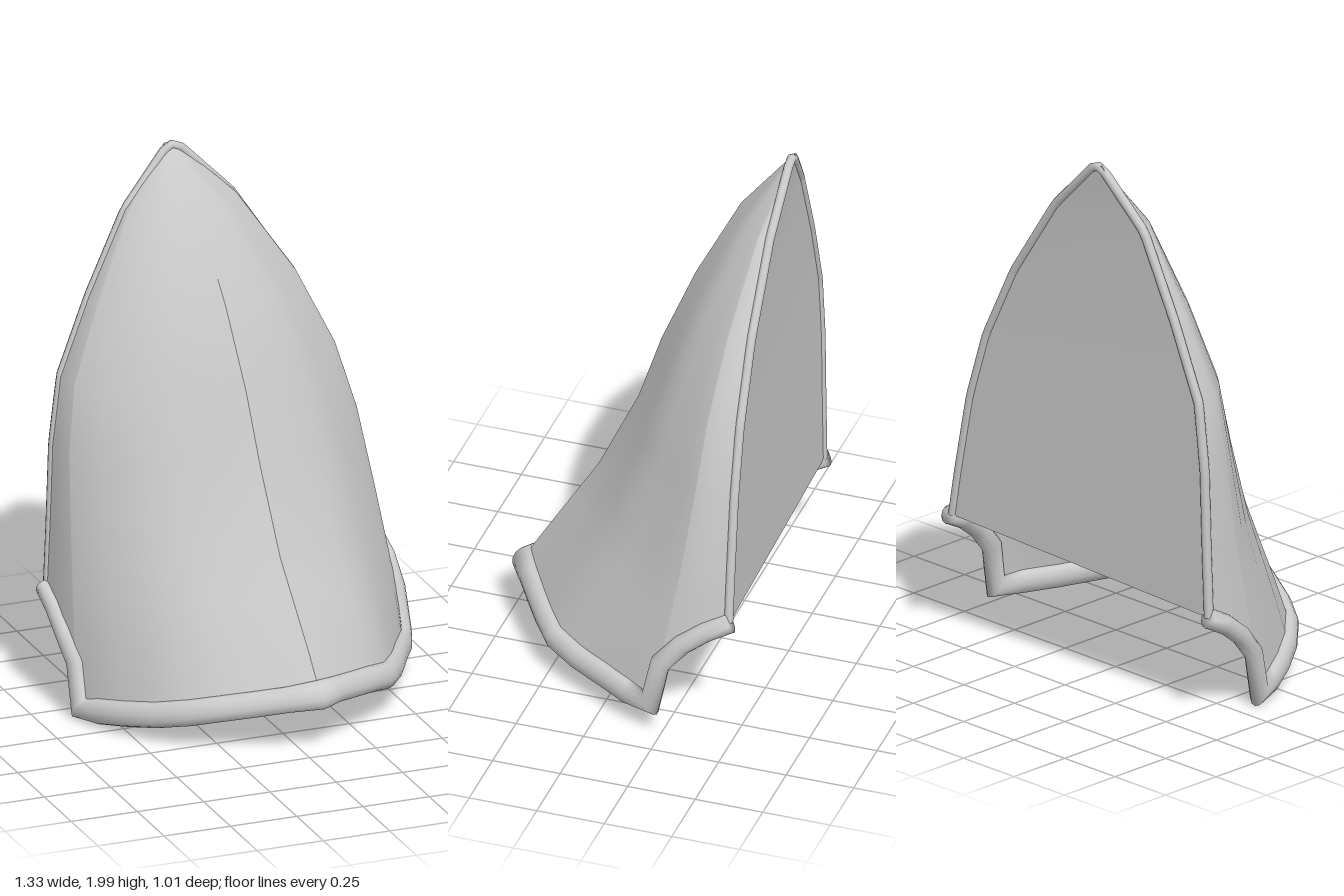
import * as THREE from 'three';
import { mergeVertices } from 'three/addons/utils/BufferGeometryUtils.js';

const V = (x, y, z) => new THREE.Vector3(x, y, z);
const { lerp, clamp } = THREE.MathUtils;

// Levels: y, right-hand back edge x (-x side), left back edge x (+x side), ridge x, ridge z, back z at -x, back z at +x
const LEVELS = [
  [0, -0.63, 0.64, 0.07, 0.6, -0.42, -0.49],
  [0.3, -0.635, 0.615, 0.05, 0.42, -0.42, -0.49],
  [0.65, -0.62, 0.56, 0.01, 0.2, -0.42, -0.485],
  [0.95, -0.61, 0.505, -0.01, 0.06, -0.42, -0.48],
  [1.2, -0.58, 0.43, -0.03, -0.02, -0.42, -0.475],
  [1.48, -0.47, 0.295, -0.06, -0.135, -0.43, -0.47],
  [1.78, -0.33, 0.095, -0.1, -0.29, -0.44, -0.47],
  [1.99, -0.155, -0.12, -0.135, -0.465, -0.475, -0.475],
];
const TOP = 1.99;

// Half cross-section from ridge to back edge: (share of width, share of depth)
const halfProfile = (bulge) => new THREE.CatmullRomCurve3(
  [[0, 0], [0.3, 0.13], [0.6, 0.28], [0.84, 0.52], [bulge, 0.74], [1, 1]].map(([x, d]) => V(x, d, 0)));
const PROFILE = { left: halfProfile(1.02), right: halfProfile(0.97) };

// Lower edge of each half: [u from ridge to back, y]; the jump is the side notch
const EDGE_U = [0, 0.1, 0.2, 0.3, 0.4, 0.5, 0.6, 0.7, 0.785, 0.79, 0.85, 0.92, 1];
const EDGE_LEFT = [0.225, 0.215, 0.2, 0.185, 0.16, 0.145, 0.135, 0.128, 0.125, 0.29, 0.38, 0.44, 0.485];
const EDGE_RIGHT = [0.225, 0.205, 0.185, 0.165, 0.14, 0.11, 0.085, 0.065, 0.05, 0.21, 0.3, 0.365, 0.41];

// Point on the outer plate for u in -1..1 (signed towards +x) and height y
function plate(u, y, side = u < 0 ? 'right' : 'left') {
  let i = 0;
  while (i < LEVELS.length - 2 && y > LEVELS[i + 1][0]) i++;
  const a = LEVELS[i], b = LEVELS[i + 1], t = clamp((y - a[0]) / (b[0] - a[0]), 0, 1);
  const [, xr, xl, rx, rz, zr, zl] = a.map((v, k) => lerp(v, b[k], t));
  const p = PROFILE[side].getPoint(Math.min(1, Math.abs(u)));
  const left = side === 'left';
  return V(lerp(rx, left ? xl : xr, p.x), y, lerp(rz, left ? zl : zr, p.y));
}

// Smooth surface through a grid of points: rows[i][j], i runs right, j runs up when seen from outside
function gridGeometry(rows, capped = false) {
  const n = rows[0].length, index = [];
  const points = rows.flat();
  for (let i = 0; i < rows.length - 1; i++) {
    for (let j = 0; j < n - 1; j++) {
      const a = i * n + j, b = a + n;
      index.push(a, b, b + 1, a, b + 1, a + 1);
    }
  }
  if (capped) {
    const last = (rows.length - 1) * n;
    for (let j = 1; j < n - 2; j++) index.push(0, j, j + 1, last, last + j + 1, last + j);
  }
  let g = new THREE.BufferGeometry().setFromPoints(points);
  g.setIndex(index);
  g = mergeVertices(g, 1e-5);
  g.computeVertexNormals();
  return g;
}

export function createModel() {
  const group = new THREE.Group();
  const material = new THREE.MeshStandardMaterial({ color: 0xcccccc, side: THREE.DoubleSide });
  const add = (name, geometry) => {
    const mesh = new THREE.Mesh(geometry, material);
    mesh.name = name;
    group.add(mesh);
  };

  // Two curved plate halves, split along the ridge so it stays crisp
  const heights = LEVELS.slice(2).map((l) => l[0]);
  const column = (u, yb, side) => [yb, lerp(yb, 0.65, 0.33), lerp(yb, 0.65, 0.67), ...heights]
    .map((y) => plate(u, y, side));
  add('leftPlate', gridGeometry(EDGE_U.map((u, i) => column(u, EDGE_LEFT[i], 'left'))));
  add('rightPlate', gridGeometry(EDGE_U.map((u, i) => column(-u, EDGE_RIGHT[i], 'right')).reverse()));

  // Flat back panel spanning the two back edges
  const panelEdge = (u, yb) => column(u, yb).map((p) => p.add(V(0, 0, 0.004)));
  const end = EDGE_U.length - 1;
  add('backPanel', gridGeometry([panelEdge(1, EDGE_LEFT[end]), panelEdge(-1, EDGE_RIGHT[end])]));

  // Rounded rim along the back edges, over the tip
  const rimPath = new THREE.CurvePath();
  const rimPoints = [
    ...column(1, EDGE_LEFT[end]),
    ...column(-1, EDGE_RIGHT[end]).reverse(),
  ].map((p) => V(p.x - Math.sign(p.x) * 0.008, Math.min(p.y, TOP - 0.008), p.z + 0.01));
  for (let i = 1; i < rimPoints.length; i++) rimPath.add(new THREE.LineCurve3(rimPoints[i - 1], rimPoints[i]));
  add('backRim', new THREE.TubeGeometry(rimPath, 90, 0.017, 8));

  // Raised band following the lower edge and the side notches
  const path = [
    ...EDGE_U.map((u, i) => [-u, EDGE_RIGHT[i]]).reverse(),
    ...EDGE_U.map((u, i) => [u, EDGE_LEFT[i]]).slice(1),
  ];
  const centres = path.map(([u, y]) => plate(u, y));
  const rings = centres.map((c, i) => {
    const before = centres[Math.max(i - 1, 0)], after = centres[Math.min(i + 1, centres.length - 1)];
    const d0 = c.clone().sub(before).normalize(), d1 = after.clone().sub(c).normalize();
    const tangent = d0.clone().add(d1).normalize();
    const mitre = 1 / Math.max(0.65, Math.max(d0.dot(tangent), d1.dot(tangent)));
    // Outward direction of the plate at this point
    const [u, y] = path[i];
    const across = plate(Math.min(u + 0.03, 1), y).sub(plate(Math.max(u - 0.03, -1), y));
    const along = plate(u, y + 0.05).sub(plate(u, y - 0.02));
    const normal = across.cross(along);
    normal.addScaledVector(tangent, -normal.dot(tangent)).normalize();
    const up = normal.clone().cross(tangent);
    const half = Math.abs(u) > 0.78 ? 0.036 : 0.046;
    return Array.from({ length: 13 }, (_, j) => {
      const a = ((j % 12) / 12) * Math.PI * 2;
      return c.clone()
        .addScaledVector(normal, Math.cos(a) * 0.032)
        .addScaledVector(up, Math.sin(a) * half * mitre);
    });
  });
  add('lowerTrim', gridGeometry(rings, true));

  return group;
}
